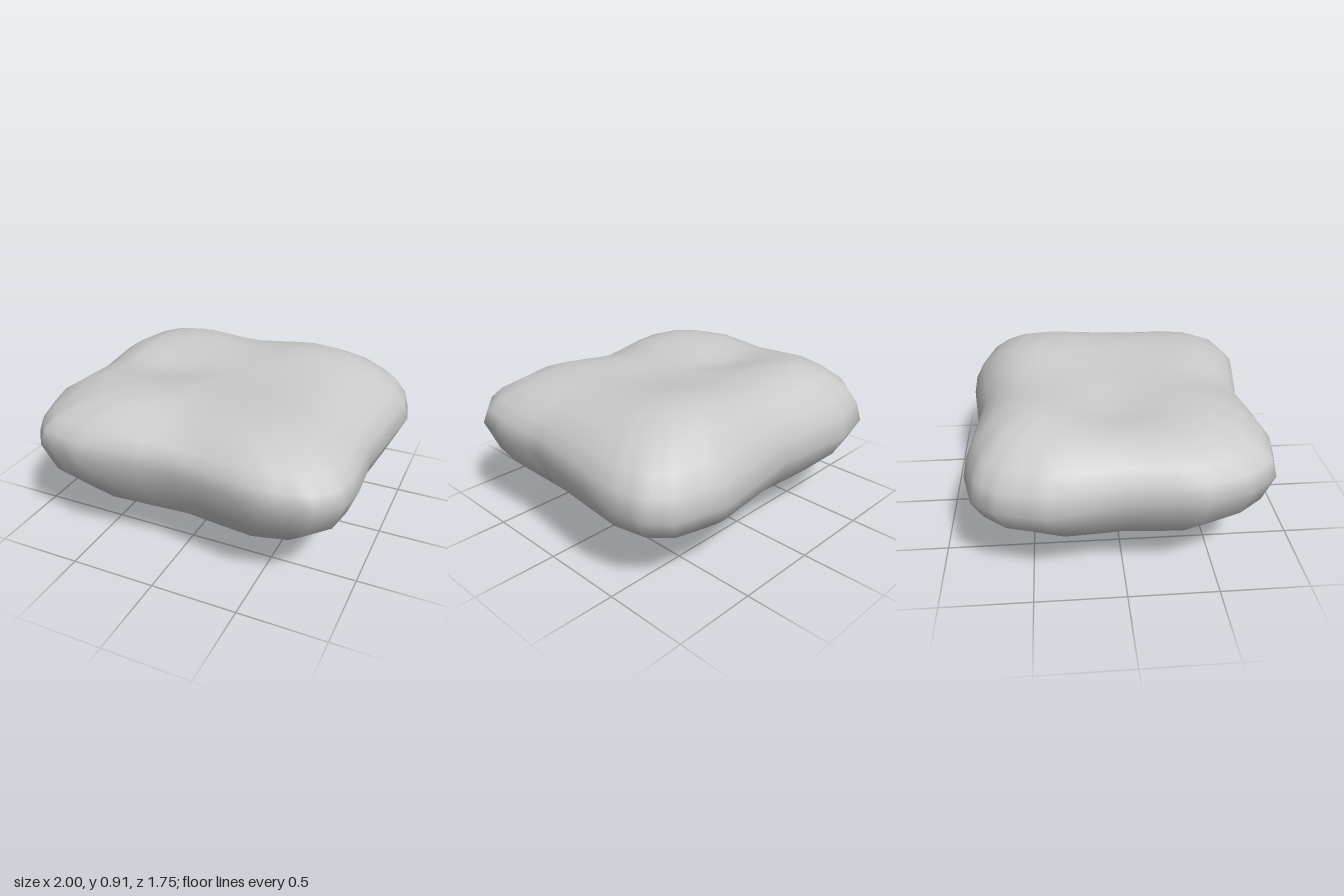
import * as THREE from 'three';

// Widest outline of the stone, seen from above: x, z
const OUTLINE = [
  [1, -0.5], [0.96, -0.69], [0.85, -0.81], [0.53, -0.88], [-0.04, -0.81],
  [-0.54, -0.86], [-0.8, -0.8], [-0.92, -0.67], [-1, -0.41], [-0.95, 0],
  [-1, 0.41], [-0.92, 0.65], [-0.8, 0.8], [-0.54, 0.85], [0.02, 0.785],
  [0.57, 0.875], [0.83, 0.82], [0.94, 0.69], [0.965, 0.5], [0.94, 0.15],
];

// Rings from the underside to the top: outline scale, height
const RINGS = [
  [0.2, 0.02], [0.45, 0.085], [0.66, 0.175], [0.8, 0.26], [0.94, 0.4], [1, 0.55],
  [0.975, 0.65], [0.92, 0.73], [0.81, 0.805], [0.68, 0.845], [0.52, 0.857],
  [0.36, 0.85], [0.18, 0.842],
];
const WIDEST = 5;
const STEPS = 3; // vertices per outline segment

// Soft swells and dents of the upper face: x, z, radius, height
const SWELLS = [
  [0.4, -0.45, 0.35, 0.055], [-0.5, -0.5, 0.28, 0.035],
  [-0.43, -0.02, 0.24, -0.06], [0, 0.62, 0.22, -0.04],
];

function swell(x, z) {
  return SWELLS.reduce((sum, [cx, cz, r, h]) =>
    sum + h * Math.exp(-((x - cx) ** 2 + (z - cz) ** 2) / (r * r)), 0);
}

function stoneGeometry() {
  const outline = [];
  OUTLINE.forEach(([x, z], i) => {
    const [nx, nz] = OUTLINE[(i + 1) % OUTLINE.length];
    for (let k = 0; k < STEPS; k++) {
      const t = k / STEPS;
      outline.push([x + (nx - x) * t, z + (nz - z) * t]);
    }
  });

  const n = outline.length;
  const positions = [];
  RINGS.forEach(([s, h], j) => {
    // The square outline melts into an oval towards both poles
    const oval = 0.7 * (1 - s);
    for (const [px, pz] of outline) {
      const a = Math.atan2(pz / 0.87, px);
      const x = s * THREE.MathUtils.lerp(px, Math.cos(a), oval);
      const z = s * THREE.MathUtils.lerp(pz, 0.87 * Math.sin(a), oval);
      // The widest line sits a little higher at the front
      const tilt = 0.05 * z * Math.exp(-(((h - 0.55) / 0.15) ** 2));
      const top = j > WIDEST ? THREE.MathUtils.smoothstep(h, 0.6, 0.84) : 0;
      positions.push(x, h + tilt + top * swell(x, z), z);
    }
  });
  const bottom = positions.length / 3;
  positions.push(0, 0, 0, 0, 0.84 + swell(0, 0), 0);

  const index = [];
  const last = (RINGS.length - 1) * n;
  for (let i = 0; i < n; i++) {
    const k = (i + 1) % n;
    for (let j = 0; j < RINGS.length - 1; j++) {
      const a = j * n + i, b = j * n + k;
      index.push(a, b, a + n, b, b + n, a + n);
    }
    index.push(bottom, k, i, bottom + 1, last + i, last + k);
  }

  const geometry = new THREE.BufferGeometry();
  geometry.setAttribute('position', new THREE.Float32BufferAttribute(positions, 3));
  geometry.setIndex(index);
  geometry.computeVertexNormals();
  return geometry;
}

export function createModel() {
  const group = new THREE.Group();
  group.name = 'stone';
  const body = new THREE.Mesh(stoneGeometry(), new THREE.MeshStandardMaterial({ color: 0xcccccc }));
  body.name = 'stoneBody';
  group.add(body);
  return group;
}
